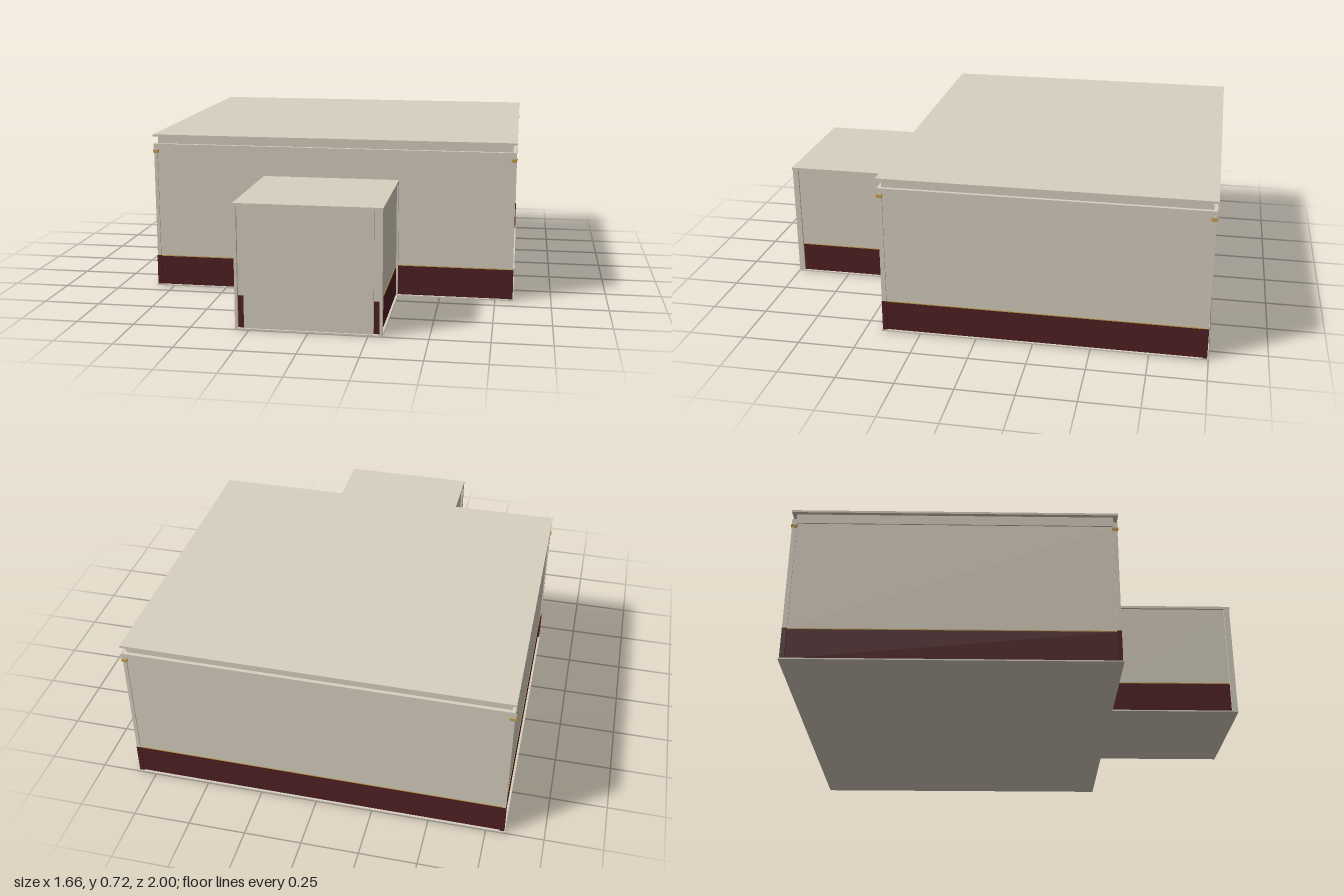
import * as THREE from 'three';

const cream = new THREE.MeshStandardMaterial({ name: 'cream plaster', color: 0xd8d0c0 });
const red = new THREE.MeshStandardMaterial({ name: 'dark red wainscot', color: 0x502024 });
const gold = new THREE.MeshStandardMaterial({ name: 'gold trim', color: 0xc4a050 });

export function createModel() {
  const model = new THREE.Group();
  model.name = 'hallBuilding';

  // box given by its minimum and maximum corners
  function box(name, material, x0, x1, y0, y1, z0, z1, parent = model) {
    const mesh = new THREE.Mesh(new THREE.BoxGeometry(x1 - x0, y1 - y0, z1 - z0), material);
    mesh.position.set((x0 + x1) / 2, (y0 + y1) / 2, (z0 + z1) / 2);
    mesh.name = name;
    parent.add(mesh);
    return mesh;
  }

  const BASE = 0.006, DADO = 0.142;
  const BACK = -0.99, FRONT = 0.415, W = 0.822;

  // main hall: floor, two-tone walls and gold dado line
  const hall = new THREE.Group();
  hall.name = 'mainHall';
  model.add(hall);
  box('hallFloor', cream, -0.832, 0.832, 0, BASE, -1, 0.425, hall);
  box('hallWainscot', red, -W, W, BASE, DADO, BACK, FRONT, hall);
  box('hallDadoLine', gold, -W - 0.002, W + 0.002, DADO, 0.146, BACK - 0.002, FRONT + 0.002, hall);
  box('hallWalls', cream, -W, W, 0.146, 0.656, BACK, FRONT, hall);

  // stepped cornice, recessed frieze and overhanging roof
  box('cornice', cream, -0.828, 0.828, 0.656, 0.676, -0.996, 0.421, hall);
  box('frieze', cream, -0.812, 0.812, 0.676, 0.71, -0.98, 0.405, hall);
  box('roofSlab', cream, -0.83, 0.83, 0.71, 0.72, -1, 0.425, hall);

  // slim corner posts with gold capitals
  for (const sx of [-1, 1]) {
    for (const z of [-0.985, 0.41]) {
      const post = new THREE.Group();
      post.name = 'cornerPost';
      post.position.set(sx * 0.819, 0, z);
      hall.add(post);
      box('postFoot', red, -0.01, 0.01, BASE, 0.145, -0.01, 0.01, post);
      box('postShaft', cream, -0.008, 0.008, 0.145, 0.638, -0.01, 0.01, post);
      box('postNeck', gold, -0.01, 0.01, 0.632, 0.64, -0.011, 0.011, post);
      box('postCapital', gold, -0.013, 0.013, 0.64, 0.648, -0.014, 0.014, post);
      box('postBlock', cream, -0.01, 0.01, 0.648, 0.656, -0.011, 0.011, post);
    }
  }

  // entrance porch
  const porch = new THREE.Group();
  porch.name = 'entrancePorch';
  model.add(porch);
  box('porchFloor', cream, -0.31, 0.31, 0, BASE, 0.42, 1, porch);
  box('porchWainscot', red, -0.3, 0.3, BASE, DADO, FRONT, 0.985, porch);
  box('porchDadoLine', gold, -0.302, 0.302, DADO, 0.146, FRONT, 0.975, porch);
  box('porchWalls', cream, -0.3, 0.3, 0.146, 0.528, FRONT, 0.985, porch);
  box('frontPanel', cream, -0.272, 0.272, BASE, 0.528, 0.985, 0.992, porch);
  box('porchRoof', cream, -0.31, 0.31, 0.528, 0.54, 0.42, 1, porch);
  for (const s of [-1, 1]) {
    const post = box('porchPost', cream, -0.006, 0.006, BASE, 0.528, 0.972, 0.998, porch);
    post.position.x = s * 0.303;
    const edge = box('porchWallStrip', cream, -0.004, 0.004, BASE, 0.528, FRONT, 0.428, porch);
    edge.position.x = s * 0.305;
  }

  return model;
}
